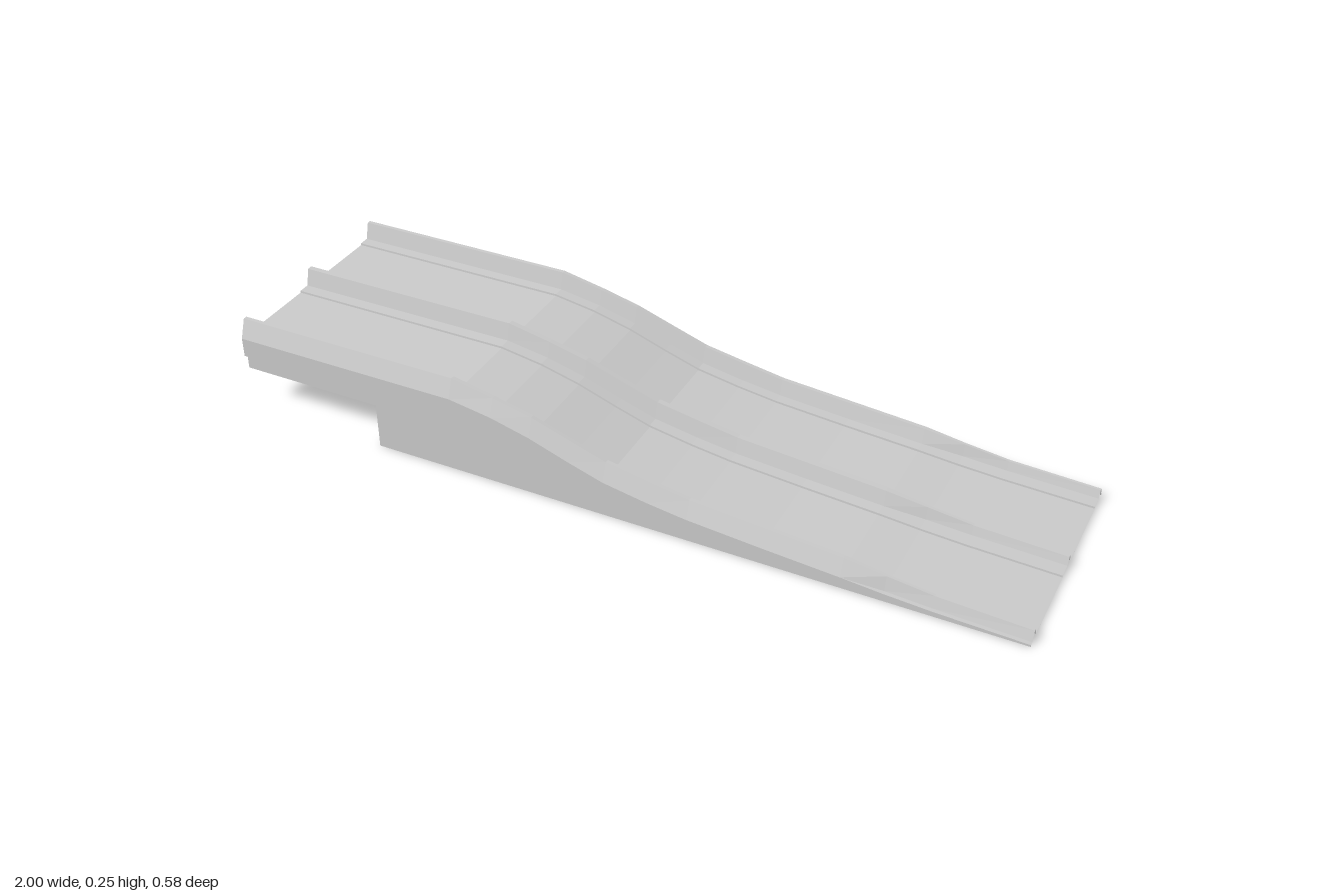
import * as THREE from 'three';

const W = 0.29, X_STEP = -0.62, Y_LIP = 0.15, Y_FLOOR = 0.11, INSET = 0.01;

// Stations along the ramp: x, deck height, rail top height, rail taper (0 wide, 1 narrow)
const stations = [
  [-1, 0.2, 0.248, 0], [-0.62, 0.2, 0.248, 0], [-0.41, 0.2, 0.248, 0],
  [-0.3, 0.182, 0.226, 0], [-0.2, 0.156, 0.202, 0], [-0.1, 0.121, 0.168, 0],
  [-0.01, 0.092, 0.138, 0], [0.1, 0.072, 0.118, 0], [0.2, 0.058, 0.101, 0],
  [0.38, 0.043, 0.086, 0], [0.57, 0.029, 0.07, 0], [0.67, 0.02, 0.055, 1],
  [0.78, 0.013, 0.041, 1], [1, 0.005, 0.03, 1],
];

const material = () => new THREE.MeshStandardMaterial({
  color: 0xcccccc, flatShading: true, side: THREE.DoubleSide,
});

function addMesh(group, name, geometry) {
  const mesh = new THREE.Mesh(geometry, material());
  mesh.name = name;
  group.add(mesh);
  return mesh;
}

// Skin between successive rows of points; faces run row to row
function loft(rows) {
  const positions = rows.flat(2), index = [], n = rows[0].length;
  for (let i = 0; i < rows.length - 1; i++) {
    for (let j = 0; j < n - 1; j++) {
      const a = i * n + j, b = a + n;
      index.push(a, a + 1, b, b, a + 1, b + 1);
    }
  }
  const g = new THREE.BufferGeometry();
  g.setAttribute('position', new THREE.Float32BufferAttribute(positions, 3));
  g.setIndex(index);
  g.computeVertexNormals();
  return g;
}

// Half cross-section from the middle rail out to the edge, as [z, y]
function halfSection([, deck, top, taper]) {
  const mix = (a, b) => a + (b - a) * taper;
  const shoulder = deck + 0.005;
  return [
    [mix(0.007, 0.004), top], [mix(0.018, 0.011), shoulder],
    [0.048, shoulder], [0.0485, deck],
    [0.2225, deck], [0.223, shoulder],
    [mix(0.25, 0.257), shoulder], [mix(0.262, 0.264), top],
    [mix(0.272, 0.271), top], [mix(W, 0.28), deck], [W, deck],
  ];
}

export function createModel() {
  const group = new THREE.Group();
  group.name = 'trackRamp';

  // Two-lane deck with its three hollow rails
  addMesh(group, 'deckAndRails', loft(stations.map((s) => {
    const half = halfSection(s);
    const section = [...half.map(([z, y]) => [-z, y]).reverse(), ...half];
    return section.map(([z, y]) => [s[0], y, z]);
  })));

  // Side walls under the deck, cut away below the raised end
  const outline = new THREE.Shape();
  outline.moveTo(-1, Y_LIP);
  outline.lineTo(X_STEP, Y_LIP);
  outline.lineTo(X_STEP, 0);
  outline.lineTo(1, 0);
  [...stations].reverse().forEach(([x, y]) => outline.lineTo(x, y));
  outline.closePath();
  for (const side of [1, -1]) {
    const wall = addMesh(group, side > 0 ? 'frontWall' : 'backWall', new THREE.ShapeGeometry(outline));
    wall.position.z = side * W;
    if (side < 0) {
      // Turn the far wall outward while keeping its outline
      wall.geometry.index.array.reverse();
      wall.geometry.computeVertexNormals();
    }
  }

  // Upright wall at the step
  const stepWall = addMesh(group, 'stepWall', new THREE.PlaneGeometry(2 * W, Y_LIP));
  stepWall.rotation.y = Math.PI / 2;
  stepWall.position.set(X_STEP, Y_LIP / 2, 0);

  // Open tray below the raised end, slightly narrower than the walls
  const z = W - INSET;
  const tray = [[-W, Y_LIP], [-z, Y_LIP], [-z, Y_FLOOR], [z, Y_FLOOR], [z, Y_LIP], [W, Y_LIP]];
  addMesh(group, 'tray', loft([X_STEP, -1].map((x) => tray.map(([tz, ty]) => [x, ty, tz]))));

  return group;
}
